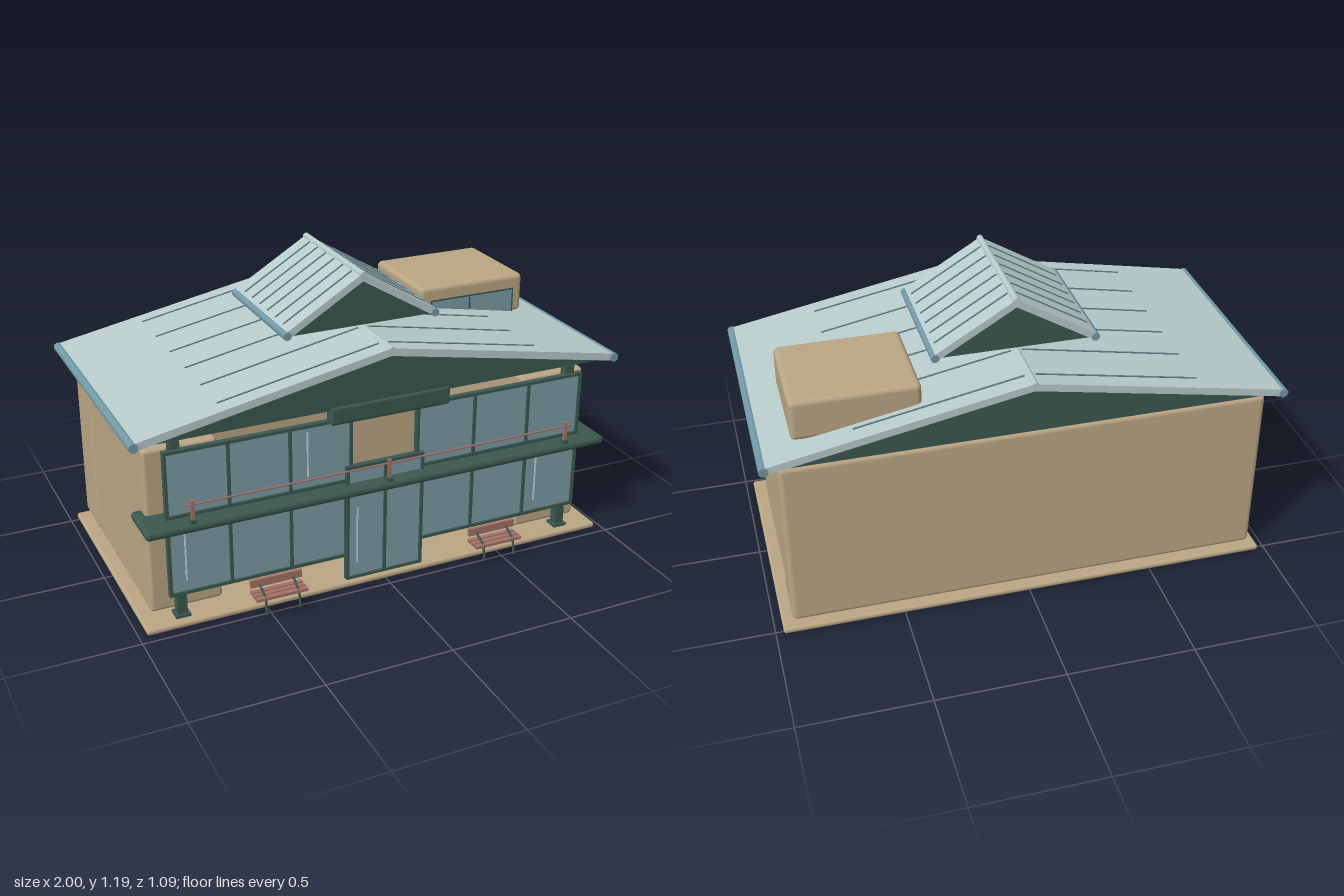
import * as THREE from 'three';
import { RoundedBoxGeometry } from 'three/addons/geometries/RoundedBoxGeometry.js';

const mat = (name, color, side = THREE.FrontSide) => {
  const m = new THREE.MeshStandardMaterial({ color, side });
  m.name = name;
  return m;
};

export function createModel() {
  const tan = mat('tan wall', 0xbaa684);
  const roofPale = mat('pale roof', 0xb8cccb);
  const trim = mat('blue roof trim', 0x7299a6);
  const seamDark = mat('roof seam', 0x5a7c84);
  const green = mat('dark green', 0x3b584f);
  const glass = mat('blue glass', 0x7b9ca6);
  const glint = mat('glass glint', 0xc3d6d6);
  const wood = mat('terracotta wood', 0xa37067);

  const model = new THREE.Group();
  model.name = 'house';

  const add = (parent, name, geo, material, x = 0, y = 0, z = 0) => {
    const m = new THREE.Mesh(geo, material);
    m.name = name;
    m.position.set(x, y, z);
    parent.add(m);
    return m;
  };
  // Boxes given by their limits on each axis; r > 0 rounds the edges
  const box = (parent, name, material, [x0, x1], [y0, y1], [z0, z1], r = 0) => {
    const s = [x1 - x0, y1 - y0, z1 - z0];
    const geo = r ? new RoundedBoxGeometry(...s, 4, r) : new THREE.BoxGeometry(...s);
    return add(parent, name, geo, material, (x0 + x1) / 2, (y0 + y1) / 2, (z0 + z1) / 2);
  };
  // Round bar between two points
  const bar = (parent, name, material, a, b, r, sides = 12) => {
    const p = new THREE.Vector3(...a), q = new THREE.Vector3(...b);
    const m = add(parent, name, new THREE.CylinderGeometry(r, r, p.distanceTo(q), sides), material);
    m.position.copy(p).add(q).multiplyScalar(0.5);
    m.quaternion.setFromUnitVectors(new THREE.Vector3(0, 1, 0), q.sub(p).normalize());
    return m;
  };
  const prism = (parent, name, material, pts, z0, z1) => {
    const shape = new THREE.Shape(pts.map(([x, y]) => new THREE.Vector2(x, y)));
    return add(parent, name, new THREE.ExtrudeGeometry(shape, { depth: z1 - z0, bevelEnabled: false }),
      material, 0, 0, z0);
  };

  // Ground slab and walls: a full-width rear block with two wings in front
  box(model, 'slab', tan, [-0.97, 0.97], [0, 0.025], [-0.52, 0.465], 0.011);
  box(model, 'rearBlock', tan, [-0.93, 0.93], [0.045, 0.747], [-0.505, -0.305], 0.02);
  for (const s of [-1, 1]) {
    box(model, 'sideWing', tan, s < 0 ? [-0.922, -0.64] : [0.64, 0.922], [0.03, 0.697], [-0.475, 0.365], 0.015);
  }

  // Framed glazing: a glass sheet with mullions at the given x positions
  const glazing = (name, x0, x1, y0, y1, z, mullions) => {
    const g = new THREE.Group();
    g.name = name;
    model.add(g);
    const f = 0.012, zf = [z - 0.015, z + 0.008];
    box(g, 'glassSheet', glass, [x0, x1], [y0, y1], [z - 0.01, z]);
    for (const y of [y0, y1]) box(g, 'frameRail', green, [x0 - f / 2, x1 + f / 2], [y - f / 2, y + f / 2], zf);
    for (const x of [x0, ...mullions, x1]) box(g, 'mullion', green, [x - f / 2, x + f / 2], [y0, y1], zf);
  };
  for (const s of [-1, 1]) {
    const span = (a, b) => (s < 0 ? [-b, -a] : [a, b]);
    glazing('upperWindows', ...span(0.14, 0.862), 0.45, 0.705, 0.43, [0.625 * s, 0.385 * s]);
    glazing('lowerWindows', ...span(0.16, 0.862), 0.13, 0.39, 0.43, [0.625 * s, 0.385 * s]);
    // Corner posts with feet
    box(model, 'post', green, span(0.8, 0.838), [0.025, 0.742], [0.388, 0.424]);
    box(model, 'postFoot', green, span(0.79, 0.848), [0.022, 0.036], [0.378, 0.434]);
  }
  glazing('entranceDoors', -0.157, 0.157, 0.03, 0.505, 0.44, [0]);
  const glints = [[-0.315, 0.5, 0.68], [-0.8, 0.18, 0.38], [0.38 + 0.3, 0.18, 0.38]];
  for (const [x, y0, y1] of glints) box(model, 'glint', glint, [x - 0.003, x + 0.003], [y0, y1], [0.43, 0.433]);
  box(model, 'doorGlint', glint, [-0.118, -0.113], [0.09, 0.33], [0.44, 0.443]);

  // Balcony and its railing
  box(model, 'balcony', green, [-0.96, 0.96], [0.403, 0.438], [0.3, 0.495], 0.016);
  for (const x of [-0.78, 0, 0.78]) {
    box(model, 'railPost', wood, [x - 0.006, x + 0.006], [0.435, 0.527], [0.47, 0.482]);
    box(model, 'railPostFoot', green, [x - 0.012, x + 0.012], [0.436, 0.452], [0.464, 0.488]);
  }
  bar(model, 'handRail', wood, [-0.81, 0.51, 0.476], [0.81, 0.51, 0.476], 0.004, 8);

  // Entrance canopy and ceiling boards below the roofs
  box(model, 'canopy', green, [-0.245, 0.245], [0.712, 0.785], [0.438, 0.49], 0.012);
  box(model, 'mainCeiling', wood, [-0.78, 0.78], [0.757, 0.782], [-0.42, 0.4]);
  box(model, 'upperCeiling', wood, [-0.21, 0.21], [0.967, 0.99], [-0.24, 0.2]);

  // Gabled roof: chevron slab, gable panels, ridge cap, eave tubes and seams
  const gableRoof = (name, W, eave, ridge, t, z0, z1, r, seamZ, s0, s1) => {
    const g = new THREE.Group();
    g.name = name;
    model.add(g);
    prism(g, 'roofSlab', roofPale,
      [[-W, eave - t], [0, ridge - t], [W, eave - t], [W, eave], [0, ridge], [-W, eave]], z0, z1);
    const slope = (ridge - eave) / W, base = eave - t + 0.015;
    const half = W - 0.015 / slope;
    for (const z of [z0 + 0.003, z1 - 0.018]) {
      prism(g, 'gablePanel', green, [[-half, base], [half, base], [0, ridge - t]], z, z + 0.02);
    }
    bar(g, 'ridgeCap', roofPale, [0, ridge - 0.006, z0 - 0.004], [0, ridge - 0.006, z1 + 0.006], 0.013);
    for (const s of [-1, 1]) {
      const y = eave - t / 2;
      bar(g, 'eaveTube', trim, [s * W, y, z0 - 0.003], [s * W, y, z1 + 0.005], r, 16);
      for (const z of seamZ) {
        const mid = (s0 + s1) / 2;
        const m = add(g, 'roofSeam', new THREE.BoxGeometry((s1 - s0) * Math.hypot(1, slope), 0.006, 0.007),
          seamDark, s * mid, ridge - slope * mid, z);
        m.rotation.z = -s * Math.atan(slope);
      }
    }
  };
  gableRoof('mainRoof', 0.982, 0.788, 0.975, 0.03, -0.54, 0.48, 0.018,
    [0.41, 0.235, 0.06, -0.115, -0.29, -0.47], 0.02, 0.65);
  gableRoof('upperRoof', 0.308, 1.0, 1.185, 0.032, -0.293, 0.236, 0.016,
    [0.17, 0.09, 0.01, -0.068, -0.146, -0.222], 0.015, 0.295);

  // Rooftop dormer with a front window
  box(model, 'dormer', tan, [0.39, 0.868], [0.815, 0.978], [-0.442, -0.035], 0.02);
  box(model, 'dormerFrame', green, [0.435, 0.825], [0.8, 0.921], [-0.037, -0.033]);
  for (const [a, b] of [[0.443, 0.612], [0.622, 0.817]]) {
    box(model, 'dormerGlass', glass, [a, b], [0.806, 0.914], [-0.035, -0.03]);
  }

  // Benches facing outwards
  for (const x of [-0.464, 0.464]) {
    const g = new THREE.Group();
    g.name = 'bench';
    g.position.x = x;
    model.add(g);
    for (const z of [0.524, 0.498, 0.472]) {
      box(g, 'seatSlat', wood, [-0.103, 0.103], [0.078, 0.09], [z - 0.01, z + 0.01]);
    }
    box(g, 'backSlat', wood, [-0.103, 0.103], [0.105, 0.136], [0.46, 0.473]);
    for (const dx of [-0.067, 0.067]) {
      bar(g, 'benchLeg', green, [dx, 0.022, 0.539], [dx, 0.085, 0.529], 0.005, 8);
      bar(g, 'benchArm', green, [dx, 0.083, 0.53], [dx, 0.118, 0.465], 0.005, 8);
    }
  }
  return model;
}
